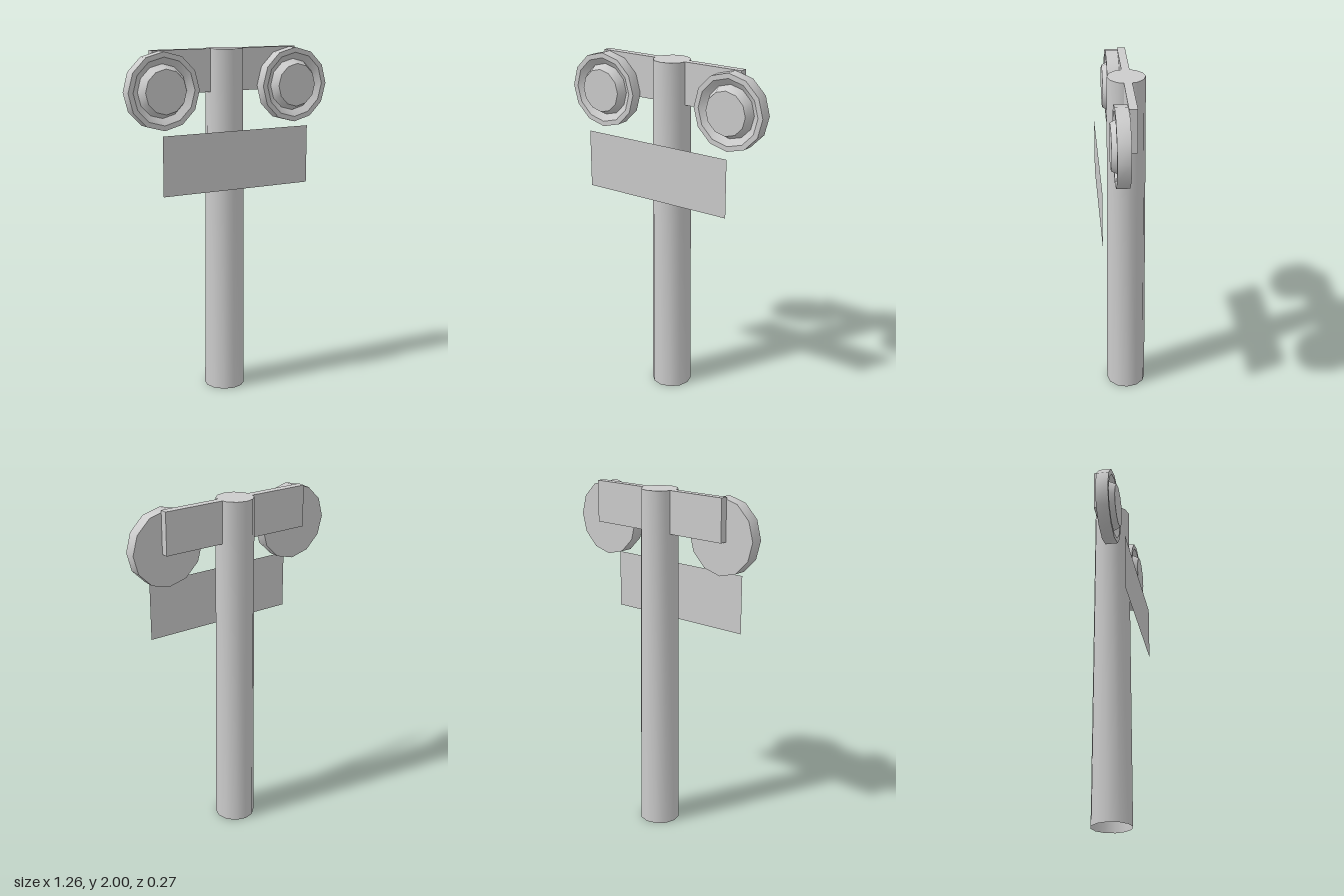
import * as THREE from 'three';
import { toCreasedNormals } from 'three/addons/utils/BufferGeometryUtils.js';

const SIDES = 12;

// Twelve-sided turned part: rounded around, sharp along the profile
function turned(profile) {
  const points = profile.map(([r, h]) => new THREE.Vector2(r, h));
  return toCreasedNormals(new THREE.LatheGeometry(points, SIDES), 0.54);
}

export function createModel() {
  const model = new THREE.Group();
  model.name = 'crossingSignal';
  const grey = new THREE.MeshStandardMaterial({ color: 0xcccccc });
  const greyDouble = new THREE.MeshStandardMaterial({ color: 0xcccccc, side: THREE.DoubleSide });

  function add(name, geometry, material, x, y, z) {
    const mesh = new THREE.Mesh(geometry, material);
    mesh.name = name;
    mesh.position.set(x, y, z);
    model.add(mesh);
    return mesh;
  }

  // Slightly tapered pole, closed on top and open underneath
  add('pole', turned([[0.117, 0], [0.105, 2], [0, 2]]), greyDouble, 0, 0, -0.02);

  // Bar carrying the lamps
  add('crossbar', new THREE.BoxGeometry(0.91, 0.24, 0.045), grey, 0, 1.88, -0.0225);

  // Thin sign plate standing clear of the pole
  add('signPlate', new THREE.PlaneGeometry(0.925, 0.333), greyDouble, -0.002, 1.385, 0.137);

  // Lamps: drum, flat rim, sloped recess and raised lens
  const lamp = turned([
    [0, 0], [0.214, 0], [0.214, 0.072], [0.185, 0.072],
    [0.148, 0.045], [0.123, 0.095], [0, 0.095],
  ]).rotateX(Math.PI / 2);
  for (const side of [-1, 1]) {
    add(side > 0 ? 'leftLamp' : 'rightLamp', lamp, grey, side * 0.418, 1.783, -0.003);
  }

  return model;
}
